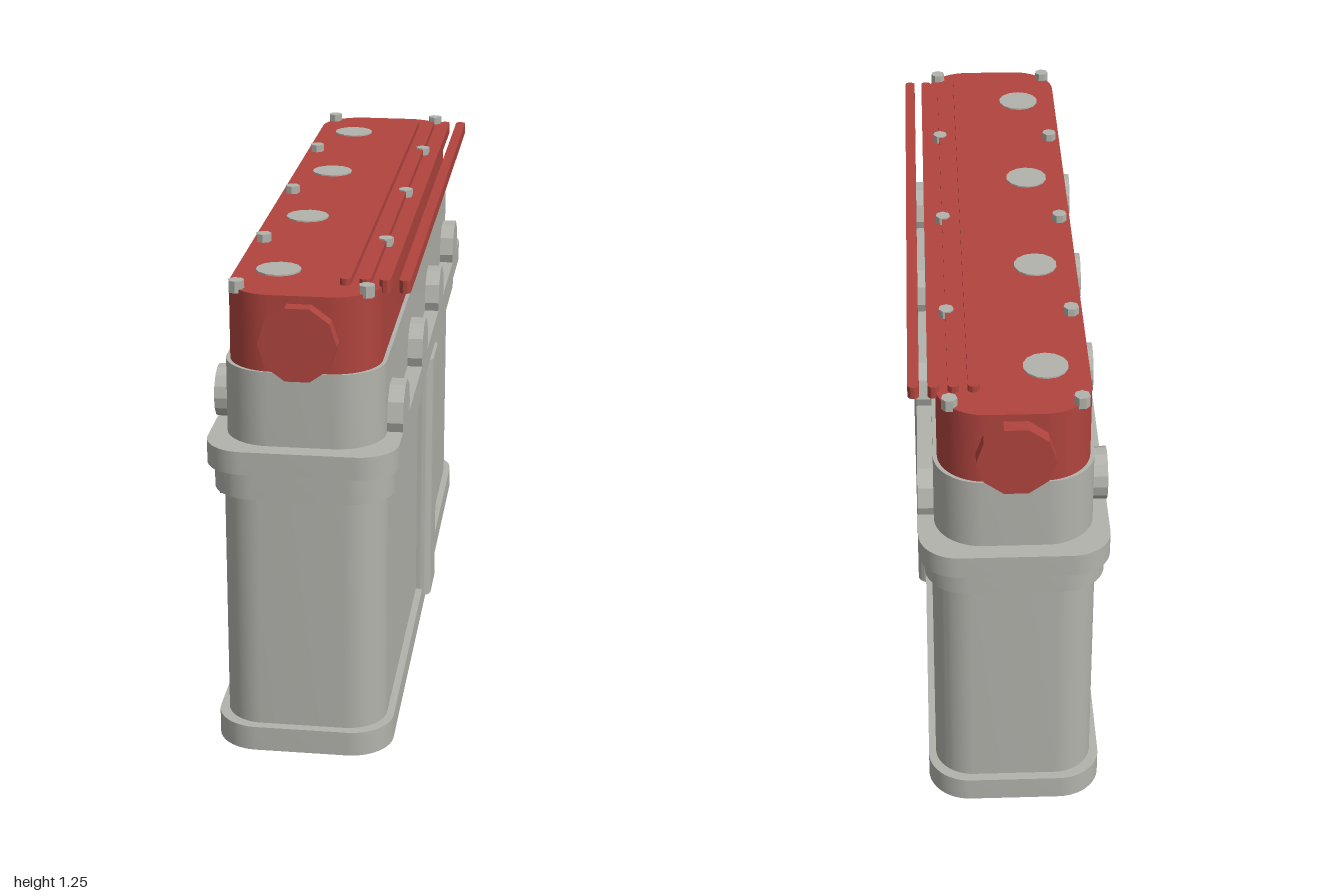
import * as THREE from 'three';
import { toCreasedNormals } from 'three/addons/utils/BufferGeometryUtils.js';

const material = (name, color) => {
  const m = new THREE.MeshStandardMaterial({ color });
  m.name = name;
  return m;
};

export function createModel() {
  const model = new THREE.Group();
  model.name = 'engineBlock';
  const gray = material('castGray', 0xb3b3ad);
  const red = material('coverRed', 0xb0443e);

  const add = (name, geometry, mat) => {
    const mesh = new THREE.Mesh(geometry, mat);
    mesh.name = name;
    model.add(mesh);
    return mesh;
  };

  // Upright slab with a rounded-rectangle footprint
  const slab = (name, mat, x0, x1, z, y0, y1, r) => {
    const s = new THREE.Shape();
    s.moveTo(x0 + r, -z);
    s.lineTo(x1 - r, -z);
    s.absarc(x1 - r, -z + r, r, -Math.PI / 2, 0);
    s.lineTo(x1, z - r);
    s.absarc(x1 - r, z - r, r, 0, Math.PI / 2);
    s.lineTo(x0 + r, z);
    s.absarc(x0 + r, z - r, r, Math.PI / 2, Math.PI);
    s.lineTo(x0, -z + r);
    s.absarc(x0 + r, -z + r, r, Math.PI, Math.PI * 1.5);
    const g = new THREE.ExtrudeGeometry(s, { depth: y1 - y0, bevelEnabled: false, curveSegments: 8 });
    g.rotateX(-Math.PI / 2).translate(0, y0, 0);
    return add(name, toCreasedNormals(g, 0.6), mat);
  };

  // Faceted disc lying along the given axis
  const disc = (name, mat, r, length, sides, axis, pos, turn = 0) => {
    const g = new THREE.CylinderGeometry(r, r, length, sides);
    g.rotateY(turn);
    if (axis === 'x') g.rotateZ(Math.PI / 2);
    if (axis === 'z') g.rotateX(Math.PI / 2);
    g.translate(...pos);
    return add(name, toCreasedNormals(g, 0.4), mat);
  };

  // Stacked body
  slab('base', gray, -0.24, 0.216, 0.967, 0, 0.066, 0.11);
  slab('block', gray, -0.218, 0.197, 0.942, 0.066, 0.7, 0.1);
  slab('deck', gray, -0.24, 0.216, 0.965, 0.7, 0.78, 0.11);
  slab('flange', gray, -0.25, 0.23, 1, 0.78, 0.84, 0.1);
  slab('head', gray, -0.21, 0.19, 0.952, 0.84, 1.033, 0.12);
  slab('cover', red, -0.2, 0.18, 0.948, 1.033, 1.228, 0.12);

  // Vertical rib on the left side
  slab('sideRib', gray, 0.12, 0.238, 0.09, 0.045, 0.775, 0.03);

  // Round caps on both ends of the cover
  for (const side of [1, -1])
    disc('endCap', red, 0.097, 0.06, 10, 'z', [-0.01, 1.116, side * 0.957], Math.PI / 2);

  // Ports, side plugs and spark plug wells, one set per cylinder
  for (const z of [-0.74, -0.246, 0.246, 0.74]) {
    disc('leftPort', gray, 0.085, 0.06, 10, 'x', [0.2, 0.866, z]);
    disc('rightPort', gray, 0.067, 0.06, 14, 'x', [-0.22, 0.905, z]);
    disc('sidePlug', gray, 0.0355, 0.022, 7, 'x', [-0.239, 0.657, z], Math.PI / 2);
    disc('plugWell', gray, 0.057, 0.008, 14, 'y', [-0.092, 1.228, z]);
  }

  // Cover bolts
  for (const x of [-0.171, 0.148])
    for (const z of [-0.9, -0.49, 0, 0.49, 0.9])
      disc('coverBolt', gray, 0.02, 0.03, 7, 'y', [x, 1.234, z]);

  // Long fins beside the wells
  for (let i = 0; i < 4; i++) {
    const x = 0.088 + i * 0.0487;
    slab('coverFin', red, x - 0.014, x + 0.014, 0.85, 1.213, 1.245, 0.0135);
  }
  return model;
}
